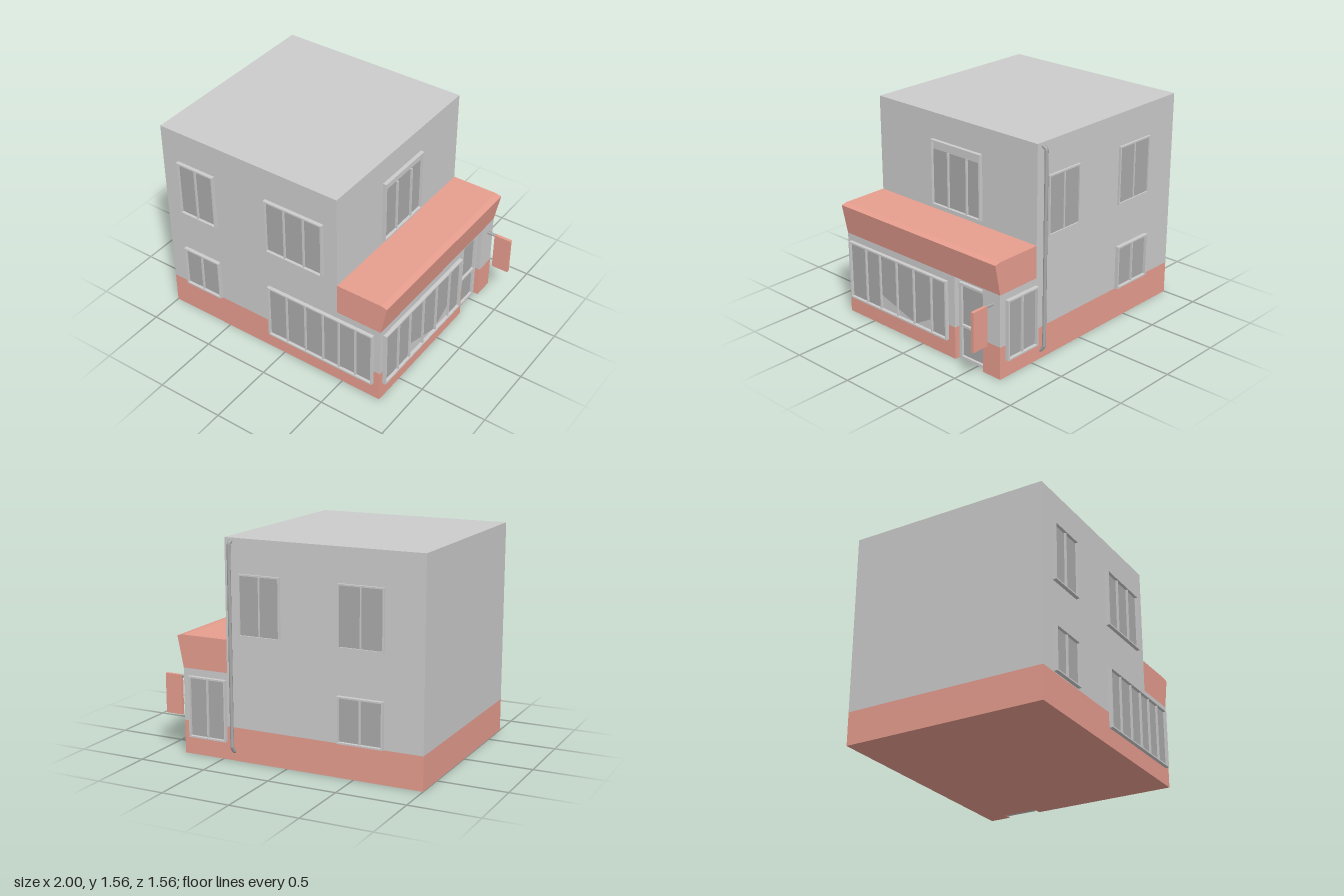
import * as THREE from 'three';

const grey = new THREE.MeshStandardMaterial({ color: 0xcccccc });
const dark = new THREE.MeshStandardMaterial({ color: 0xaaaaaa });
const coral = new THREE.MeshStandardMaterial({ color: 0xe69d8e });

const BACK = -0.735, FRONT = 0.75, LEFT = -1, UPPER = 0.46, LOWER = 0.81;
const RECESS = 0.75; // wall plane behind the door niche

const polygon = (points) => new THREE.Shape(points.map(([x, y]) => new THREE.Vector2(x, y)));
const rect = (x0, x1, y0, y1) => polygon([[x0, y0], [x1, y0], [x1, y1], [x0, y1]]);

function add(parent, name, geometry, material) {
  const mesh = new THREE.Mesh(geometry, material);
  mesh.name = name;
  parent.add(mesh);
  return mesh;
}

function slab(parent, name, shape, z0, z1, material) {
  const geometry = new THREE.ExtrudeGeometry(shape, { depth: z1 - z0, bevelEnabled: false });
  return add(parent, name, geometry.translate(0, 0, z0), material);
}

function box(parent, name, [x0, x1], [y0, y1], [z0, z1], material) {
  const geometry = new THREE.BoxGeometry(x1 - x0, y1 - y0, z1 - z0);
  geometry.translate((x0 + x1) / 2, (y0 + y1) / 2, (z0 + z1) / 2);
  return add(parent, name, geometry, material);
}

// Group whose local +z points out of a wall; local x runs along the wall
function wallGroup(parent, name, side, plane) {
  const group = new THREE.Group();
  group.name = name;
  if (side === 'front') group.position.z = plane;
  if (side === 'side') { group.rotation.y = Math.PI / 2; group.position.x = plane; }
  if (side === 'back') { group.rotation.y = Math.PI; group.position.z = plane; }
  parent.add(group);
  return group;
}

// Window: rim, backing, mullions at the inner edges and one inset pane per bay.
// cuts[i] = [left, right] raises the bottom corners of pane i.
function addWindow(wall, name, edges, [y0, y1], depth, { paneTop = y1 - 0.013, cuts = {} } = {}) {
  const win = new THREE.Group();
  win.name = name;
  wall.add(win);
  const rim = 0.011, x0 = edges[0], x1 = edges[edges.length - 1];
  const frame = rect(x0, x1, y0, y1);
  frame.holes.push(rect(x0 + rim, x1 - rim, y0 + rim, y1 - rim));
  slab(win, 'windowFrame', frame, 0, depth, grey);
  slab(win, 'windowBacking', rect(x0 + rim, x1 - rim, y0 + rim, y1 - rim), 0, 0.003, grey);
  for (let i = 0; i < edges.length - 1; i++) {
    const a = edges[i] + (i ? 0.005 : rim);
    const b = edges[i + 1] - (i < edges.length - 2 ? 0.005 : rim);
    const [ya, yb] = cuts[i] || [y0 + rim, y0 + rim];
    slab(win, 'pane', polygon([[a, ya], [b, yb], [b, paneTop], [a, paneTop]]), 0.002, 0.006, dark);
    if (i) box(win, 'mullion', [edges[i] - 0.005, edges[i] + 0.005], [y0 + rim, paneTop], [0, depth * 0.75], grey);
  }
}

export function createModel() {
  const model = new THREE.Group();
  model.name = 'shopHouse';

  // Ground floor with the door niche cut out of the right wall (plan is x, -z)
  const plan = polygon([
    [LEFT, -FRONT], [LOWER, -FRONT], [LOWER, 0.32], [RECESS, 0.32],
    [RECESS, 0.58], [LOWER, 0.58], [LOWER, -BACK], [LEFT, -BACK],
  ]);
  slab(model, 'plinth', plan, 0, 0.24, coral).rotation.x = -Math.PI / 2;
  slab(model, 'groundFloor', plan, 0.24, 0.62, grey).rotation.x = -Math.PI / 2;
  box(model, 'upperFloor', [LEFT, UPPER], [0.62, 1.56], [BACK, FRONT], grey);

  // Flared fascia roof over the shop
  const fascia = polygon([[UPPER, 0.62], [LOWER, 0.62], [0.855, 0.845], [0.81, 0.855], [UPPER, 0.855]]);
  slab(model, 'shopRoof', fascia, BACK, FRONT, coral);

  // Front windows
  const front = wallGroup(model, 'frontWindows', 'front', FRONT);
  for (const ys of [[0.89, 1.32], [0.245, 0.57]]) {
    addWindow(front, 'smallWindow', [-0.865, -0.712, -0.55], ys, 0.027);
  }
  addWindow(front, 'tripleWindow', [-0.118, 0.042, 0.2, 0.355], [0.89, 1.32], 0.027);
  addWindow(front, 'shopWindow', [-0.118, 0.042, 0.2, 0.35, 0.482, 0.618, 0.76], [0.13, 0.57], 0.027);

  // Right side windows (local x = -z)
  const shop = wallGroup(model, 'sideShopWindow', 'side', LOWER);
  addWindow(shop, 'displayWindow', [-0.717, -0.547, -0.402, -0.232, -0.062, 0.11, 0.26], [0.13, 0.57], 0.028,
    { cuts: { 2: [0.243, 0.195], 3: [0.19, 0.141], 4: [0.141, 0.23] } });
  const upper = wallGroup(model, 'sideUpperWindow', 'side', UPPER);
  addWindow(upper, 'blindWindow', [-0.222, -0.062, 0.113, 0.246], [0.89, 1.37], 0.028, { paneTop: 1.3 });

  // Back windows (local x = -x)
  const back = wallGroup(model, 'backWindows', 'back', BACK);
  addWindow(back, 'upperWindow', [0.385, 0.553, 0.72], [0.89, 1.32], 0.016);
  addWindow(back, 'upperWindow', [-0.355, -0.197, -0.04], [0.89, 1.32], 0.016);
  addWindow(back, 'lowerWindow', [0.385, 0.553, 0.72], [0.245, 0.57], 0.029);
  addWindow(back, 'lowerShopWindow', [-0.76, -0.612, -0.465], [0.13, 0.57], 0.029);

  // Door with two inset panels
  const door = wallGroup(model, 'door', 'side', RECESS);
  const doorFrame = rect(0.325, 0.573, 0, 0.57);
  const panels = [[0.02, 0.245], [0.26, 0.553]];
  for (const [a, b] of panels) {
    doorFrame.holes.push(rect(0.347, 0.552, a, b));
    slab(door, 'doorPanel', rect(0.347, 0.552, a, b), 0, 0.006, dark);
  }
  slab(door, 'doorFrame', doorFrame, 0, 0.025, grey);

  // Hanging sign on a short bracket
  box(model, 'signBoard', [0.87, 1], [0.255, 0.545], [-0.678, -0.655], coral);
  const bracket = add(model, 'signBracket', new THREE.CylinderGeometry(0.011, 0.011, 0.07, 8), dark);
  bracket.rotation.z = Math.PI / 2;
  bracket.position.set(0.842, 0.537, -0.667);

  // Drainpipe, bent into the wall at both ends
  const stops = [[1.54, -0.73], [1.522, -0.767], [0.105, -0.767], [0.07, -0.745], [0.065, -0.73]]
    .map(([y, z]) => new THREE.Vector3(0.41, y, z));
  const path = new THREE.CurvePath();
  for (let i = 1; i < stops.length; i++) path.add(new THREE.LineCurve3(stops[i - 1], stops[i]));
  const pipe = new THREE.TubeGeometry(path, 120, 0.013, 8);
  add(model, 'drainpipe', pipe, dark);

  return model;
}
